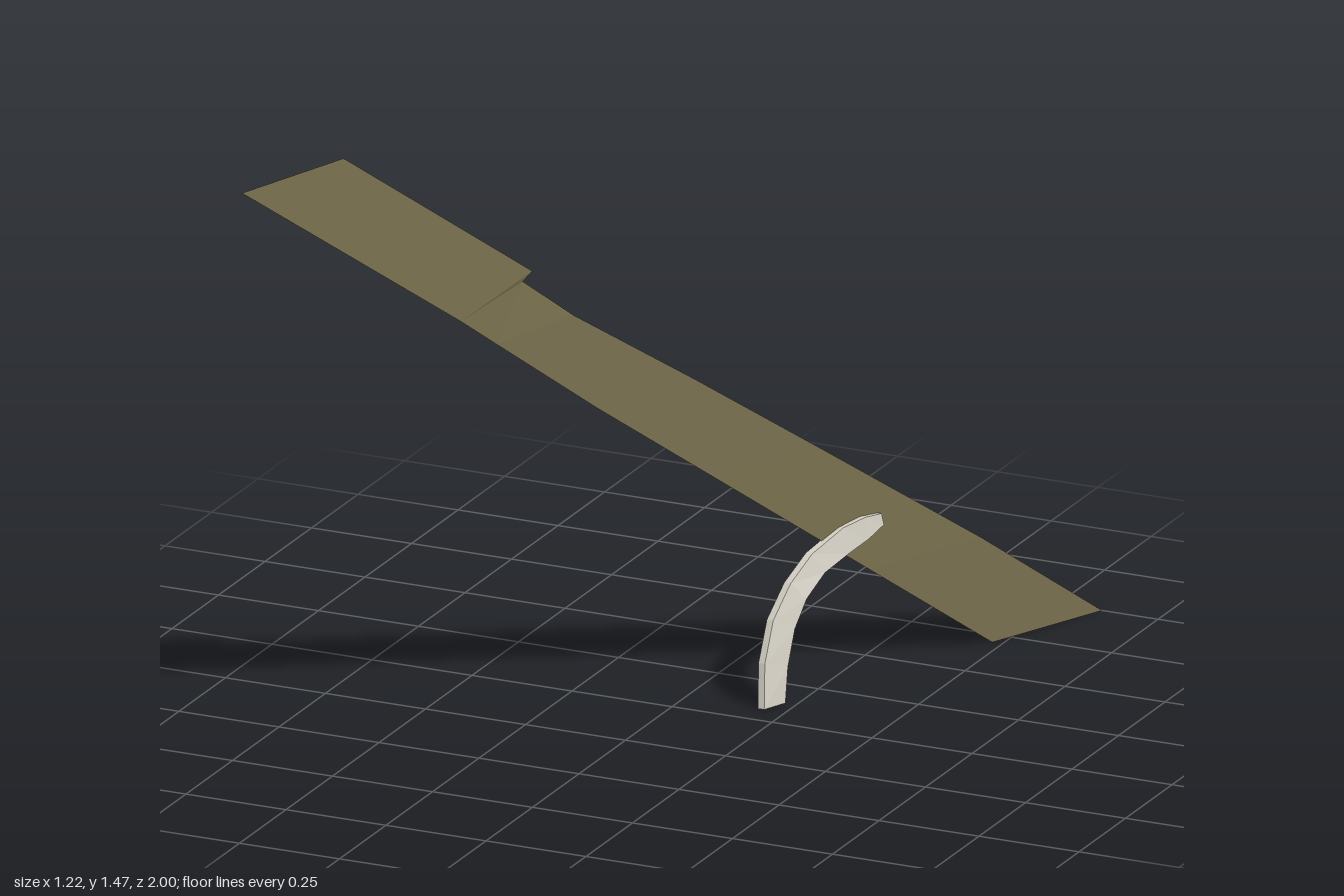
import * as THREE from 'three';

// Quad strip between two rails of points, as a BufferGeometry
function loft(railA, railB) {
  const pos = [];
  for (let i = 0; i < railA.length - 1; i++) {
    const a = railA[i], b = railB[i], c = railB[i + 1], d = railA[i + 1];
    pos.push(...a, ...b, ...c, ...a, ...c, ...d);
  }
  const g = new THREE.BufferGeometry();
  g.setAttribute('position', new THREE.Float32BufferAttribute(pos, 3));
  g.computeVertexNormals();
  return g;
}

export function createModel() {
  const model = new THREE.Group();
  const make = (name, color) => {
    const m = new THREE.MeshStandardMaterial({ color, side: THREE.DoubleSide, flatShading: true });
    m.name = name;
    return m;
  };
  const olive = make('olive brown', 0x716849);
  const pale = make('pale grey', 0xd2cec2);
  const add = (name, geometry, material, parent) => {
    const mesh = new THREE.Mesh(geometry, material);
    mesh.name = name;
    parent.add(mesh);
  };

  // Leaning sheet: lower and upper edges, with a small notch in the upper edge
  const lower = [
    [0.475, 0, -0.70], [0.293, 0.235, -0.431], [0.064, 0.53, -0.093], [-0.11, 0.755, 0.165],
    [-0.25, 0.965, 0.405], [-0.30, 1.04, 0.49], [-0.338, 1.092, 0.552], [-0.61, 1.467, 1.0],
  ];
  const upper = [
    [0.61, 0, -1.0], [0.43, 0.235, -0.735], [0.19, 0.53, -0.38], [0.006, 0.755, -0.107],
    [-0.17, 0.97, 0.165], [-0.245, 1.075, 0.275], [-0.235, 1.092, 0.245], [-0.50, 1.467, 0.69],
  ];
  add('leaningSheet', loft(lower, upper), olive, model);

  // Curved prop: outer and inner edges of a thin hooked band
  const outer = [
    [0.19, 0, -0.07], [0.18, 0.1, -0.095], [0.18, 0.19, -0.14], [0.193, 0.26, -0.205],
    [0.212, 0.31, -0.28], [0.243, 0.345, -0.38], [0.27, 0.355, -0.44], [0.289, 0.352, -0.488],
  ];
  const inner = [
    [0.215, 0, -0.13], [0.212, 0.08, -0.15], [0.213, 0.16, -0.185], [0.222, 0.22, -0.23],
    [0.235, 0.262, -0.30], [0.257, 0.285, -0.38], [0.28, 0.305, -0.44], [0.294, 0.325, -0.49],
  ];
  const shift = (rail, dx) => rail.map(([x, y, z]) => [x + dx, y, z]);
  const half = 0.008;
  const of = shift(outer, half), ob = shift(outer, -half);
  const nf = shift(inner, half), nb = shift(inner, -half);
  const prop = new THREE.Group();
  prop.name = 'curvedProp';
  add('propFace', loft(of, nf), pale, prop);
  add('propBack', loft(nb, ob), pale, prop);
  add('propOuterEdge', loft(ob, of), pale, prop);
  add('propInnerEdge', loft(nf, nb), pale, prop);
  const last = outer.length - 1;
  add('propTip', loft([of[last], ob[last]], [nf[last], nb[last]]), pale, prop);
  add('propFoot', loft([ob[0], of[0]], [nb[0], nf[0]]), pale, prop);
  model.add(prop);

  return model;
}
